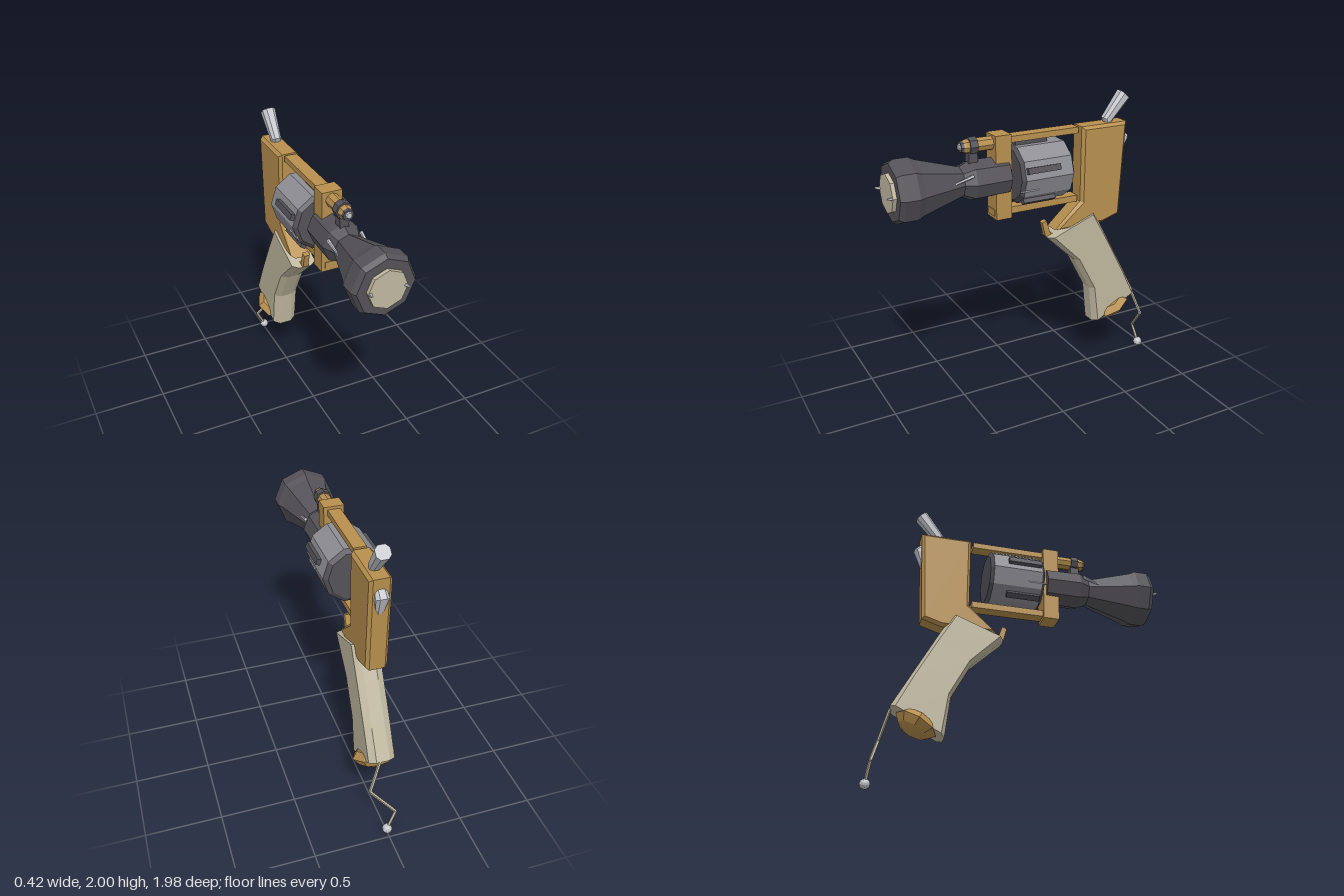
import * as THREE from 'three';

const mat = (name, color) => {
  const m = new THREE.MeshStandardMaterial({ color, flatShading: true });
  m.name = name;
  return m;
};

// Surface turned about the z axis, profile = [radius, z] from back to front
function turned(profile, sides, phase = 0) {
  const g = new THREE.LatheGeometry(profile.map(p => new THREE.Vector2(...p)), sides, phase);
  return g.rotateX(Math.PI / 2);
}

// Side outline [z, y] extruded across x, with bevelled edges
function sidePlate(outline, halfWidth, bevel) {
  const shape = new THREE.Shape(outline.map(([z, y]) => new THREE.Vector2(-z, y)));
  const depth = 2 * (halfWidth - bevel);
  const g = new THREE.ExtrudeGeometry(shape, {
    depth, bevelEnabled: true, bevelSize: bevel, bevelOffset: -bevel, bevelThickness: bevel, bevelSegments: 1
  });
  return g.translate(0, 0, -depth / 2).rotateY(Math.PI / 2);
}

// Chamfered bar through sections [frontZ, frontY, backZ, backY, halfWidth], top to bottom
function chamferedLoft(sections, chamfer = 0.08, narrow = 0.5) {
  const ring = [[0, -narrow], [0, narrow], [chamfer, 1], [1 - chamfer, 1],
    [1, narrow], [1, -narrow], [1 - chamfer, -1], [chamfer, -1]];
  const n = ring.length, pos = [], idx = [];
  for (const [fz, fy, bz, by, w] of sections)
    for (const [t, s] of ring) pos.push(s * w, fy + (by - fy) * t, fz + (bz - fz) * t);
  for (let i = 0; i < sections.length - 1; i++)
    for (let j = 0; j < n; j++) {
      const a = i * n + j, b = i * n + (j + 1) % n;
      idx.push(a, a + n, b, b, a + n, b + n);
    }
  const last = (sections.length - 1) * n;
  for (let j = 1; j < n - 1; j++) idx.push(0, j, j + 1, last, last + j + 1, last + j);
  const g = new THREE.BufferGeometry();
  g.setAttribute('position', new THREE.Float32BufferAttribute(pos, 3));
  g.setIndex(idx);
  g.computeVertexNormals();
  return g;
}

export function createModel() {
  const root = new THREE.Group();
  root.name = 'toyBlaster';
  const brass = mat('brass', 0xb8904f), cream = mat('cream', 0xc0b8a0), dark = mat('dark grey', 0x545258);
  const grey = mat('mid grey', 0x8e8e95), silver = mat('silver', 0xc4c6cc);

  const add = (name, geo, material, x = 0, y = 0, z = 0) => {
    const m = new THREE.Mesh(geo, material);
    m.name = name;
    m.position.set(x, y, z);
    root.add(m);
    return m;
  };
  const box = (name, material, w, y0, y1, z0, z1, x = 0) =>
    add(name, new THREE.BoxGeometry(w, y1 - y0, z1 - z0), material, x, (y0 + y1) / 2, (z0 + z1) / 2);
  const rod = (name, material, a, b, r0, r1 = r0, sides = 5) => {
    const p = new THREE.Vector3(...a), q = new THREE.Vector3(...b), d = q.clone().sub(p);
    const m = add(name, new THREE.CylinderGeometry(r1, r0, d.length(), sides), material);
    m.position.copy(p.add(q).multiplyScalar(0.5));
    m.quaternion.setFromUnitVectors(new THREE.Vector3(0, 1, 0), d.normalize());
  };
  const axisY = 1.545;

  // Flared barrel and its closed mouth
  add('barrel', turned([[0, 0.17], [0.125, 0.17], [0.132, 0.41], [0.097, 0.48], [0.185, 0.77],
    [0.205, 0.81], [0.205, 0.9], [0.185, 0.93], [0, 0.93]], 8), dark, 0, axisY, 0);
  add('muzzleDisc', turned([[0, 0.925], [0.125, 0.925], [0.125, 0.955], [0, 0.955]], 8), cream, 0, axisY, 0);

  // Ten-sided drum with dark end caps
  const ph = Math.PI / 10;
  add('drum', turned([[0.195, -0.23], [0.195, 0.11]], 10, ph), grey, 0, axisY, 0);
  add('drumBackCap', turned([[0, -0.25], [0.165, -0.25], [0.195, -0.23]], 10, ph), dark, 0, axisY, 0);
  add('drumFrontCap', turned([[0.195, 0.11], [0.17, 0.13], [0, 0.13]], 10, ph), dark, 0, axisY, 0);

  // Five raised slats around the drum
  for (let i = 0; i < 5; i++) {
    const a = Math.PI / 2 + i * Math.PI * 0.4, r = 0.195;
    const slat = add('drumSlat', new THREE.BoxGeometry(0.036, 0.04, 0.23), dark,
      Math.cos(a) * r, axisY + Math.sin(a) * r, -0.015);
    slat.rotation.z = a;
  }

  // Small silver pins on muzzle, neck and drum
  for (const s of [-1, 1]) {
    rod('muzzlePin', silver, [s * 0.11, axisY, 0.95], [s * 0.117, 1.55, 0.985], 0.011, 0.007);
    rod('neckPin', silver, [s * 0.11, 1.605, 0.43], [s * 0.102, 1.565, 0.56], 0.012, 0.006);
    rod('drumPin', silver, [s * 0.169, 1.47, 0.01], [s * 0.169, 1.47, 0.14], 0.006);
  }

  // Frame: front block, two rails and rear body
  box('frameBlock', brass, 0.135, 1.27, 1.82, 0.15, 0.26);
  box('topRail', brass, 0.085, 1.76, 1.8, -0.35, 0.2);
  box('bottomRail', brass, 0.085, 1.29, 1.335, -0.35, 0.265);
  add('rearBody', sidePlate([[-0.37, 1.8], [-0.37, 1.29], [-0.18, 1.115], [-0.555, 1.11],
    [-0.685, 1.15], [-0.715, 1.8]], 0.07, 0.02), brass);

  // Sight tube with clamp
  add('sightTube', turned([[0, 0.25], [0.045, 0.25], [0.045, 0.44], [0.037, 0.46], [0, 0.46]], 8), brass, 0, 1.765, 0);
  add('sightRing', turned([[0.04, 0.455], [0.036, 0.472], [0, 0.472]], 8), dark, 0, 1.765, 0);
  add('sightLens', turned([[0.027, 0.465], [0.018, 0.482], [0, 0.485]], 8), silver, 0, 1.765, 0);
  add('sightClamp', turned([[0, 0.367], [0.056, 0.367], [0.056, 0.418], [0, 0.418]], 8), dark, 0, 1.765, 0);
  box('sightPost', dark, 0.06, 1.64, 1.73, 0.365, 0.425);

  // Hammer bending down through the rear body
  add('hammer', chamferedLoft([[-0.685, 2.0, -0.75, 1.94, 0.045], [-0.56, 1.83, -0.62, 1.795, 0.032],
    [-0.6, 1.74, -0.66, 1.78, 0.032], [-0.69, 1.65, -0.755, 1.69, 0.042],
    [-0.65, 1.53, -0.7, 1.55, 0.022]], 0.25), silver);

  // Trigger
  add('trigger', chamferedLoft([[-0.1, 1.17, -0.132, 1.182, 0.021], [-0.125, 1.07, -0.165, 1.08, 0.021],
    [-0.19, 1.04, -0.2, 1.09, 0.021]], 0.1, 0.9), brass);

  // Grip with chamfered corners
  add('grip', chamferedLoft([[-0.13, 1.065, -0.485, 1.2, 0.087], [-0.34, 0.865, -0.6, 0.986, 0.087],
    [-0.47, 0.62, -0.735, 0.735, 0.087], [-0.5, 0.35, -0.845, 0.53, 0.087]]), cream);

  // Pommel on the slanted grip end
  const pommel = add('pommel', new THREE.LatheGeometry([[0, -0.078], [0.06, -0.07], [0.105, -0.05],
    [0.145, -0.005], [0.11, 0.04], [0, 0.05]].map(p => new THREE.Vector2(...p)), 8), brass, 0, 0.44, -0.672);
  pommel.rotation.x = Math.atan2(0.18, 0.345);

  // Zigzag lanyard and bead
  const cord = [[0.02, 0.53, -0.838], [0.1, 0.34, -0.89], [-0.06, 0.16, -0.94], [0, 0.035, -0.957]];
  for (let i = 0; i < 3; i++) rod('lanyard', cream, cord[i], cord[i + 1], 0.011);
  add('lanyardBead', new THREE.IcosahedronGeometry(0.033, 1), silver, 0, 0.035, -0.957);

  return root;
}
